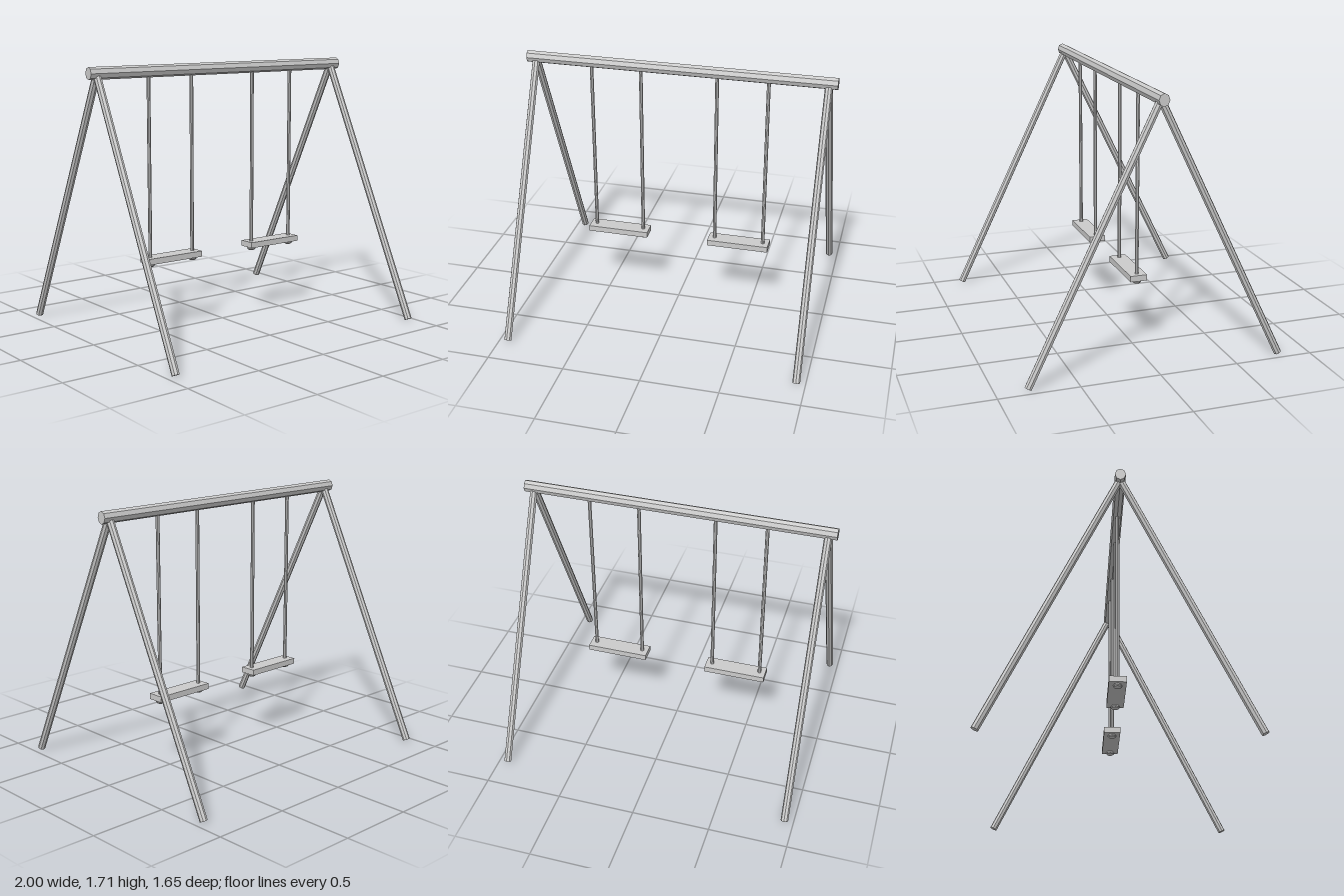
import * as THREE from 'three';

const material = new THREE.MeshStandardMaterial({ color: 0xcccccc, flatShading: true });

function addMesh(parent, name, geometry, x = 0, y = 0, z = 0) {
  const mesh = new THREE.Mesh(geometry, material);
  mesh.name = name;
  mesh.position.set(x, y, z);
  parent.add(mesh);
  return mesh;
}

// Straight round bar between two points
function addBar(parent, name, from, to, radius, sides = 8) {
  const a = new THREE.Vector3(...from), b = new THREE.Vector3(...to);
  const dir = b.clone().sub(a);
  const bar = addMesh(parent, name, new THREE.CylinderGeometry(radius, radius, dir.length(), sides));
  bar.position.copy(a).add(b).multiplyScalar(0.5);
  bar.quaternion.setFromUnitVectors(new THREE.Vector3(0, 1, 0), dir.normalize());
  return bar;
}

// Hanging seat with two ropes, each ending in a flattened knot below the seat
function createSwing(x) {
  const swing = new THREE.Group();
  swing.name = 'swing';
  swing.position.x = x;
  addMesh(swing, 'seat', new THREE.BoxGeometry(0.406, 0.038, 0.108), 0, 0.478, 0);
  for (const side of [-1, 1]) {
    const rx = side * 0.163;
    addBar(swing, 'rope', [rx, 0.445, 0], [rx, 1.66, 0], 0.012);
    const knot = new THREE.SphereGeometry(0.029, 8, 6).scale(1, 0.55, 1);
    addMesh(swing, 'knot', knot, rx, 0.448, 0);
  }
  return swing;
}

export function createModel() {
  const model = new THREE.Group();
  model.name = 'swingSet';

  // Top beam, slightly taller than deep
  const beam = new THREE.CylinderGeometry(0.039, 0.039, 2, 8).rotateZ(Math.PI / 2).scale(1, 1, 0.87);
  addMesh(model, 'topBeam', beam, 0, 1.67, 0);

  // Splayed legs at both ends
  for (const x of [-0.943, 0.943]) {
    for (const s of [-1, 1]) {
      addBar(model, s > 0 ? 'frontLeg' : 'backLeg', [x, 0.0105, s * 0.803], [x, 1.645, s * 0.01], 0.024);
    }
  }

  for (const x of [-0.41, 0.41]) model.add(createSwing(x));
  return model;
}
